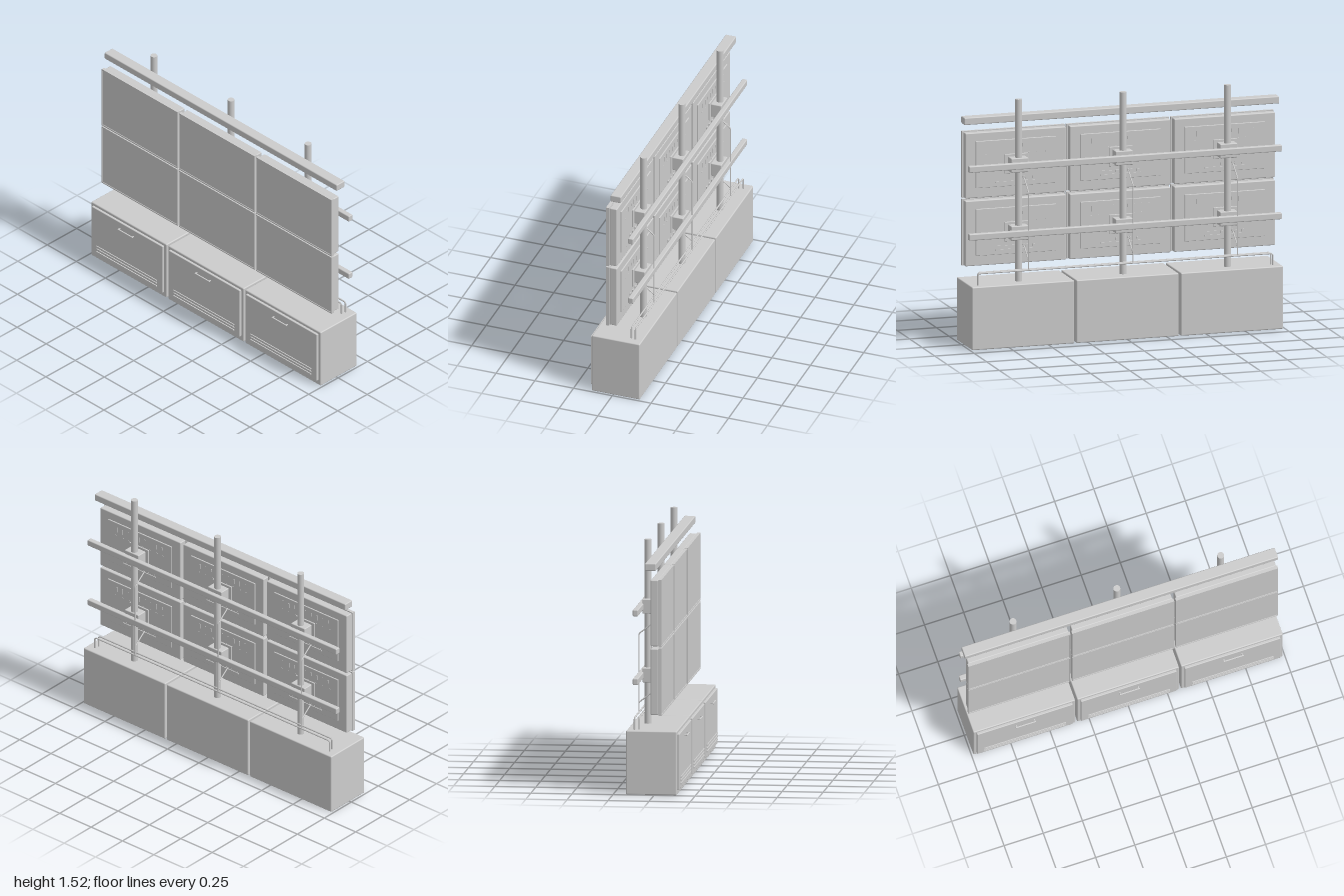
import * as THREE from 'three';
import { RoundedBoxGeometry } from 'three/addons/geometries/RoundedBoxGeometry.js';

const grey = new THREE.MeshStandardMaterial({ color: 0xcccccc });
grey.name = 'light grey';

function add(parent, name, geometry, x = 0, y = 0, z = 0) {
  const mesh = new THREE.Mesh(geometry, grey);
  mesh.name = name;
  mesh.position.set(x, y, z);
  parent.add(mesh);
  return mesh;
}

// Box given by centre x, width and its y and z ranges; r rounds the edges
function block(parent, name, x, w, y0, y1, z0, z1, r = 0) {
  const h = y1 - y0, d = z1 - z0;
  const geometry = r ? new RoundedBoxGeometry(w, h, d, 2, r) : new THREE.BoxGeometry(w, h, d);
  return add(parent, name, geometry, x, (y0 + y1) / 2, (z0 + z1) / 2);
}

// Round bar bent along straight segments
function bentRod(parent, name, points, radius) {
  const path = new THREE.CurvePath();
  const v = points.map((p) => new THREE.Vector3(...p));
  for (let i = 1; i < v.length; i++) {
    const dir = v[i].clone().sub(v[i - 1]).normalize();
    const a = i > 1 ? v[i - 1].clone().addScaledVector(dir, 0.01) : v[i - 1];
    const b = i < v.length - 1 ? v[i].clone().addScaledVector(dir, -0.01) : v[i];
    path.add(new THREE.LineCurve3(a, b));
    if (i < v.length - 1) {
      const next = v[i + 1].clone().sub(v[i]).normalize();
      path.add(new THREE.QuadraticBezierCurve3(b, v[i], v[i].clone().addScaledVector(next, 0.01)));
    }
  }
  add(parent, name, new THREE.TubeGeometry(path, 120, radius, 8));
}

// Rectangular frame extruded along z
function frameGeometry(w, h, border, depth) {
  const rect = (Type, a, b) => new Type([[-a, -b], [a, -b], [a, b], [-a, b]]
    .map((p) => new THREE.Vector2(...p)));
  const shape = rect(THREE.Shape, w / 2, h / 2);
  shape.holes.push(rect(THREE.Path, w / 2 - border, h / 2 - border));
  return new THREE.ExtrudeGeometry(shape, { depth, bevelEnabled: false });
}

function cabinet(x) {
  const g = new THREE.Group();
  g.name = 'cabinet';
  g.position.x = x;
  block(g, 'cabinetBody', 0, 0.65, 0, 0.39, -0.172, 0.137, 0.007);
  block(g, 'door', 0, 0.61, 0.033, 0.372, 0.13, 0.152, 0.004);
  // Door handle on two posts
  block(g, 'handle', 0, 0.13, 0.325, 0.333, 0.163, 0.172, 0.003);
  for (const s of [-1, 1]) block(g, 'handlePost', s * 0.058, 0.006, 0.326, 0.332, 0.15, 0.167);
  // Louvres
  for (const y of [0.063, 0.083, 0.103]) {
    block(g, 'louvre', 0, 0.52, y - 0.004, y + 0.004, 0.15, 0.158);
  }
  return g;
}

function screen(x, y) {
  const g = new THREE.Group();
  g.name = 'screen';
  g.position.set(x, y, 0);
  block(g, 'screenHousing', 0, 0.64, -0.202, 0.202, -0.023, 0.024, 0.006);
  block(g, 'screenPanel', 0, 0.64, -0.2, 0.2, 0.022, 0.041);
  add(g, 'bezel', frameGeometry(0.652, 0.412, 0.008, 0.02), 0, 0, 0.025);
  // Raised service cover on the back
  block(g, 'rearCover', 0, 0.51, -0.14, 0.15, -0.03, -0.015, 0.003);
  // Upper vent slots
  for (let i = 0; i < 9; i++) {
    const h = i % 3 === 0 ? 0.02 : 0.032;
    block(g, 'ventSlot', -0.18 + i * 0.045, 0.007, 0.12 - h, 0.12, -0.033, -0.029);
  }
  for (let i = 0; i < 8; i++) {
    block(g, 'ventDash', -0.19 + i * 0.054, 0.012, 0.06, 0.064, -0.032, -0.029);
  }
  // Lower connector strip
  block(g, 'connectorStrip', 0, 0.26, -0.115, -0.108, -0.035, -0.029);
  for (let i = 0; i < 6; i++) {
    block(g, 'connector', -0.11 + i * 0.044, 0.018, -0.1, -0.085, -0.036, -0.029);
  }
  return g;
}

export function createModel() {
  const model = new THREE.Group();
  model.name = 'videoWall';
  const rows = [1.11, 0.69];

  for (const x of [-0.663, 0, 0.663]) {
    model.add(cabinet(x));
    for (const y of rows) {
      model.add(screen(x, y));
      // Clamp between pole, screen and rail
      block(model, 'mountBracket', x, 0.11, y - 0.043, y + 0.045, -0.105, -0.036, 0.005);
      block(model, 'mountPlate', x, 0.15, y - 0.06, y + 0.06, -0.038, -0.028, 0.003);
      // Signal cable
      bentRod(model, 'cable', [
        [x - 0.048, y - 0.09, -0.03], [x - 0.048, y - 0.165, -0.126], [x - 0.048, 0.465, -0.126],
      ], 0.004);
      add(model, 'cablePlug', new THREE.CylinderGeometry(0.008, 0.008, 0.012, 12),
        x - 0.048, y - 0.088, -0.035).rotation.x = Math.PI / 2;
    }
    // Upright pole
    add(model, 'pole', new THREE.CylinderGeometry(0.021, 0.021, 1.14, 32), x, 0.946, -0.077);
  }

  // Horizontal beams
  block(model, 'topBeam', 0, 2, 1.371, 1.416, -0.056, 0.012, 0.006);
  for (const y of rows) block(model, 'rearRail', 0, 1.985, y - 0.02, y + 0.02, -0.131, -0.098, 0.006);

  // Cable conduits bridging the cabinets
  for (const [z, r] of [[-0.098, 0.93], [-0.126, 0.936]]) {
    bentRod(model, 'conduit', [[-r, 0.385, z], [-r, 0.463, z], [r, 0.463, z], [r, 0.385, z]], 0.005);
  }
  return model;
}
